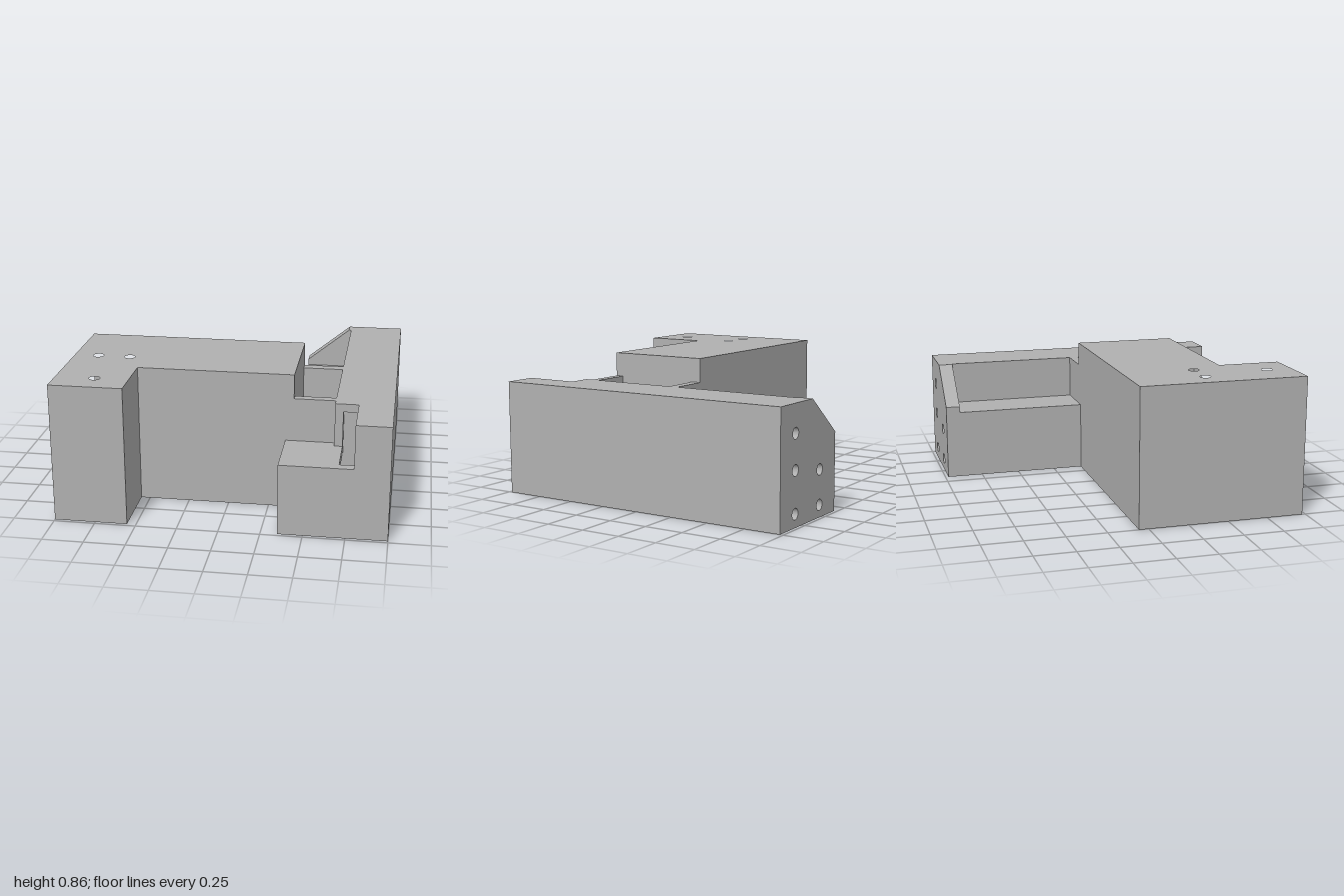
import * as THREE from 'three';

const grey = new THREE.MeshStandardMaterial({ color: 0xb0b0b0 });

function add(parent, geometry, name) {
  const mesh = new THREE.Mesh(geometry, grey);
  mesh.name = name;
  parent.add(mesh);
  return mesh;
}

// Box given by its limits on each axis
function box(parent, name, x0, x1, y0, y1, z0, z1) {
  add(parent, new THREE.BoxGeometry(x1 - x0, y1 - y0, z1 - z0), name)
    .position.set((x0 + x1) / 2, (y0 + y1) / 2, (z0 + z1) / 2);
}

// Shape from corner points, with round holes [x, y, radius]
function drilled(points, holes) {
  const shape = new THREE.Shape(points.map(([x, y]) => new THREE.Vector2(x, y)));
  for (const [x, y, r] of holes) {
    shape.holes.push(new THREE.Path().absarc(x, y, r, 0, Math.PI * 2, true));
  }
  return shape;
}

// Plan outline (x, z) raised from y0 to y1
function slab(parent, name, plan, holes, y0, y1) {
  const shape = drilled(plan.map(([x, z]) => [x, -z]), holes.map(([x, z, r]) => [x, -z, r]));
  const geometry = new THREE.ExtrudeGeometry(shape, { depth: y1 - y0, bevelEnabled: false, curveSegments: 16 });
  geometry.rotateX(-Math.PI / 2).translate(0, y0, 0);
  add(parent, geometry, name);
}

export function createModel() {
  const model = new THREE.Group();
  model.name = 'bracket';

  // L-shaped block with screw holes and shallow round sockets underneath
  const block = new THREE.Group();
  block.name = 'mainBlock';
  model.add(block);
  const plan = [[-1, -0.06], [0.35, -0.06], [0.35, 0.59], [-0.555, 0.59], [-0.555, 0.98], [-1, 0.98]];
  const screws = [[-0.85, 0.39], [-0.65, 0.39], [-0.76, 0.82]];
  const sockets = [[0.125, 0.075], [0.125, 0.43], [-0.335, 0.075], [-0.335, 0.43], [-0.78, 0.075], [-0.78, 0.62]];
  slab(block, 'blockBase', plan,
    [...screws.map(([x, z]) => [x, z, 0.08]), ...sockets.map(([x, z]) => [x, z, 0.09])], 0, 0.08);
  slab(block, 'blockBody', plan, screws.map(([x, z]) => [x, z, 0.033]), 0.08, 0.86);
  box(block, 'blockEnd', 0.35, 0.40, 0.44, 0.86, -0.06, 0.59);

  // Short walls joining block and rail around the pocket
  box(block, 'pocketBackWall', 0.40, 0.65, 0.44, 0.71, -0.06, 0);
  box(block, 'pocketFrontWall', 0.40, 0.65, 0.44, 0.71, 0.54, 0.59);

  // Hollow rail, open below
  const rail = new THREE.Group();
  rail.name = 'rail';
  model.add(rail);
  box(rail, 'outerWall', 0.94, 1, 0, 0.71, -0.89, 0.98);
  box(rail, 'innerWall', 0.35, 0.41, 0, 0.44, -0.89, 0.98);
  box(rail, 'ledge', 0.41, 0.70, 0.38, 0.44, -0.89, 0.98);
  box(rail, 'middleWall', 0.65, 0.70, 0, 0.71, -0.89, 0.58);
  box(rail, 'middleWallEnd', 0.65, 0.70, 0.38, 0.71, 0.58, 0.64);
  box(rail, 'railTop', 0.70, 0.94, 0.66, 0.71, -0.89, 0.64);
  box(rail, 'railTopFront', 0.79, 0.94, 0.66, 0.71, 0.64, 0.98);
  box(rail, 'frontWallLow', 0.41, 0.94, 0, 0.44, 0.92, 0.98);
  box(rail, 'frontWallHigh', 0.79, 0.94, 0.44, 0.66, 0.92, 0.98);

  // Cross ribs between the cells
  for (const z of [-0.09, 0.52]) {
    box(rail, 'lowRib', 0.41, 0.65, 0, 0.38, z, z + 0.06);
    box(rail, 'highRib', 0.70, 0.94, 0, 0.66, z, z + 0.06);
  }

  // Round boss in the front cell
  const boss = new THREE.Shape().absarc(0.665, -0.76, 0.2, 0, Math.PI * 2, false);
  boss.holes.push(new THREE.Path().absarc(0.665, -0.76, 0.045, 0, Math.PI * 2, true));
  const bossGeometry = new THREE.ExtrudeGeometry(boss, { depth: 0.1, bevelEnabled: false, curveSegments: 24 });
  add(rail, bossGeometry.rotateX(-Math.PI / 2), 'boss');

  // Chamfered back plate with five holes
  const plate = drilled(
    [[0.35, 0], [1, 0], [1, 0.71], [0.635, 0.71], [0.35, 0.48]],
    [[0.83, 0.54], [0.83, 0.33], [0.83, 0.08], [0.54, 0.285], [0.54, 0.075]].map(([x, y]) => [x, y, 0.034]));
  const plateGeometry = new THREE.ExtrudeGeometry(plate, { depth: 0.09, bevelEnabled: false, curveSegments: 16 });
  add(rail, plateGeometry.translate(0, 0, -0.98), 'backPlate');

  return model;
}
